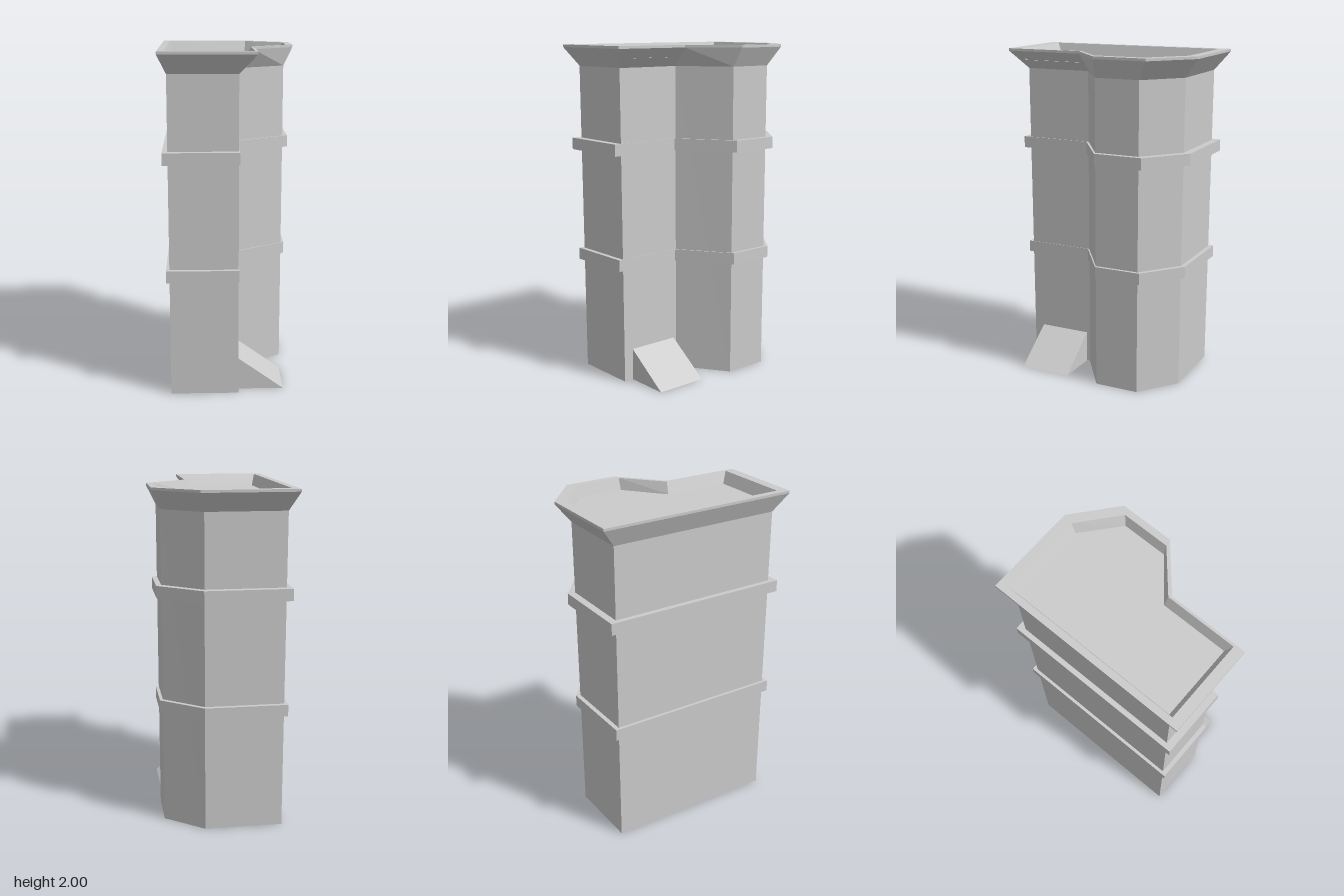
import * as THREE from 'three';

const material = new THREE.MeshStandardMaterial({ color: 0xcccccc, flatShading: true });

// Plan outlines as [x, z], starting at the back right corner
const BASE = [[-0.345, -0.52], [0.115, -0.52], [0.34, -0.34], [0.34, -0.07], [0.05, 0.125], [0.05, 0.525], [-0.345, 0.525]];
const NECK = [[-0.35, -0.53], [0.12, -0.53], [0.345, -0.345], [0.345, -0.07], [0.05, 0.125], [0.05, 0.535], [-0.35, 0.535]];
const RIM = [[-0.4, -0.615], [0.15, -0.615], [0.4, -0.405], [0.4, -0.085], [0.15, 0.135], [0.15, 0.615], [-0.4, 0.615]];
const FLOOR = [[-0.34, -0.525], [0.13, -0.525], [0.34, -0.345], [0.34, -0.075], [0.11, 0.115], [0.11, 0.52], [-0.34, 0.52]];

const scaled = (outline, s) => outline.map(([x, z]) => [x * s, z * s]);

// Joins stacked outlines [outline, y] with flat walls and optional end caps
function loft(name, rings, capBottom = true, capTop = true) {
  const positions = [];
  const add = ([outline, y], i) => positions.push(outline[i][0], y, outline[i][1]);
  for (let r = 0; r < rings.length - 1; r++) {
    const lo = rings[r], up = rings[r + 1], n = lo[0].length;
    for (let i = 0; i < n; i++) {
      const j = (i + 1) % n;
      add(lo, i); add(up, i); add(up, j);
      add(lo, i); add(up, j); add(lo, j);
    }
  }
  const cap = (ring, facesUp) => {
    const pts = ring[0].map(([x, z]) => new THREE.Vector2(x, z));
    for (const [a, b, c] of THREE.ShapeUtils.triangulateShape(pts, [])) {
      const area = THREE.ShapeUtils.area([pts[a], pts[b], pts[c]]);
      const order = (area < 0) === facesUp ? [a, b, c] : [a, c, b];
      order.forEach((i) => add(ring, i));
    }
  };
  if (capBottom) cap(rings[0], false);
  if (capTop) cap(rings[rings.length - 1], true);
  const geometry = new THREE.BufferGeometry();
  geometry.setAttribute('position', new THREE.Float32BufferAttribute(positions, 3));
  geometry.computeVertexNormals();
  const mesh = new THREE.Mesh(geometry, material);
  mesh.name = name;
  return mesh;
}

export function createModel() {
  const group = new THREE.Group();
  group.name = 'tower';

  // Slightly flaring walls
  group.add(loft('walls', [[BASE, 0], [NECK, 1.875]], true, false));

  // Flared cornice, thin lip, parapet and sunken roof
  group.add(loft('corniceAndRoof', [
    [NECK, 1.875], [RIM, 1.985], [RIM, 2], [scaled(RIM, 0.9), 2], [FLOOR, 1.93],
  ], false, true));

  // Two string courses around the walls
  for (const [name, y, s] of [['lowerBand', 0.69, 1.06], ['upperBand', 1.375, 1.1]]) {
    const outline = scaled(BASE, s);
    group.add(loft(name, [[outline, y], [outline, y + 0.07]]));
  }

  // Wedge ramp against the recessed side wall
  const wedge = new THREE.Shape([
    new THREE.Vector2(0.045, 0), new THREE.Vector2(0.32, 0), new THREE.Vector2(0.045, 0.197),
  ]);
  const ramp = new THREE.Mesh(
    new THREE.ExtrudeGeometry(wedge, { depth: 0.32, bevelEnabled: false }), material);
  ramp.position.z = 0.145;
  ramp.name = 'ramp';
  group.add(ramp);

  return group;
}
